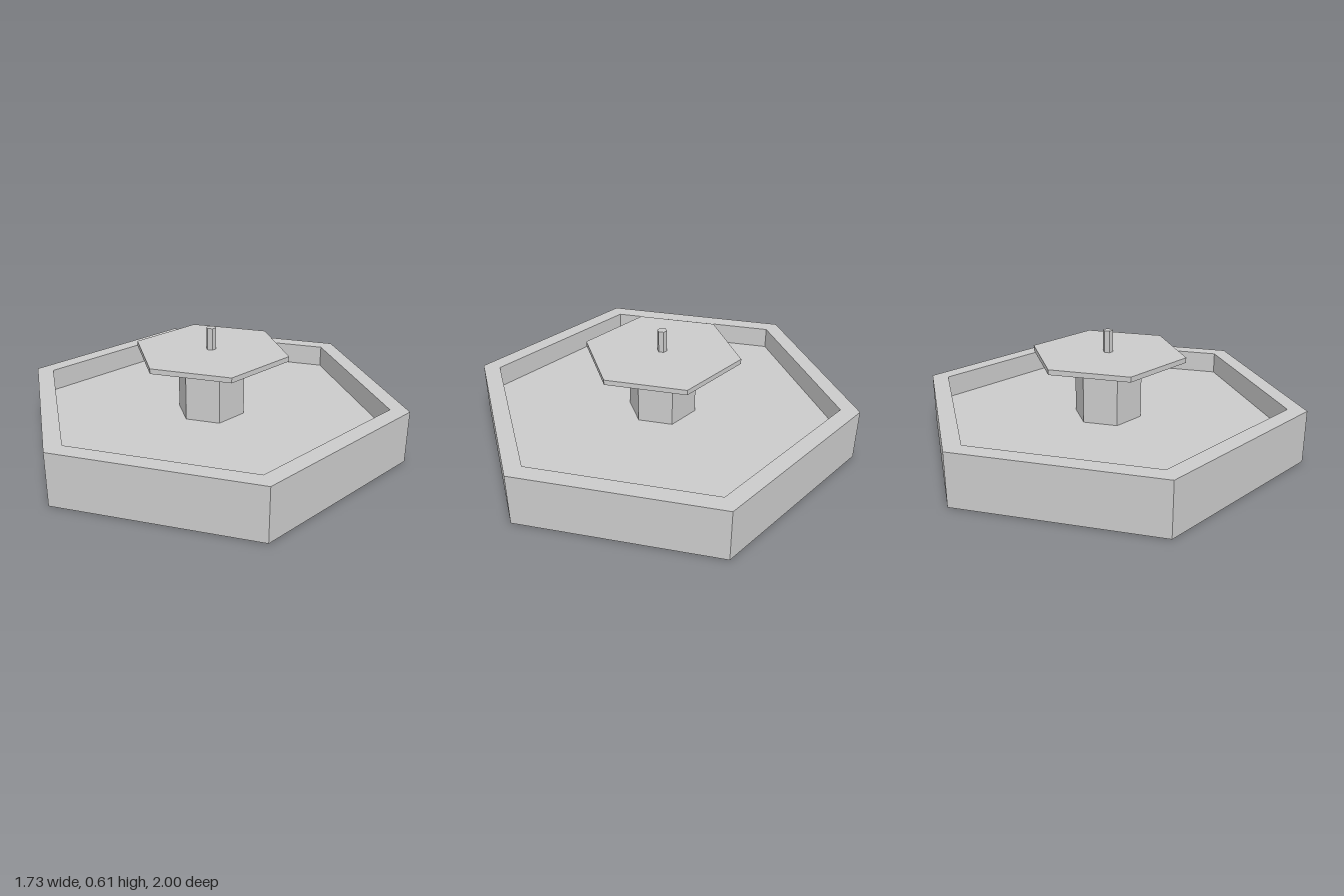
import * as THREE from 'three';

const SIDES = 6;

// Six-sided solid turned from a [radius, y] profile, with crisp flat faces
function hexTurned(name, profile, material) {
  const points = profile.map(([r, y]) => new THREE.Vector2(r, y));
  const geometry = new THREE.LatheGeometry(points, SIDES).toNonIndexed();
  geometry.computeVertexNormals();
  const mesh = new THREE.Mesh(geometry, material);
  mesh.name = name;
  return mesh;
}

export function createModel() {
  const stone = new THREE.MeshStandardMaterial({ color: 0xcccccc });
  stone.name = 'light grey stone';

  const group = new THREE.Group();
  group.name = 'hexagonalFountain';

  group.add(
    // Open basin: flat underside, outer wall, rim, inner wall and floor
    hexTurned('basin', [[0, 0], [1, 0], [1, 0.27], [0.905, 0.27], [0.905, 0.155], [0, 0.155]], stone),
    // Column rising from the basin floor
    hexTurned('column', [[0.175, 0.155], [0.175, 0.442]], stone),
    // Upper plate with a tapered underside
    hexTurned('upperPlate', [[0, 0.442], [0.175, 0.442], [0.4, 0.466], [0.4, 0.492], [0, 0.492]], stone),
    // Small spout on top
    hexTurned('spout', [[0.025, 0.492], [0.025, 0.605], [0, 0.605]], stone)
  );
  return group;
}
